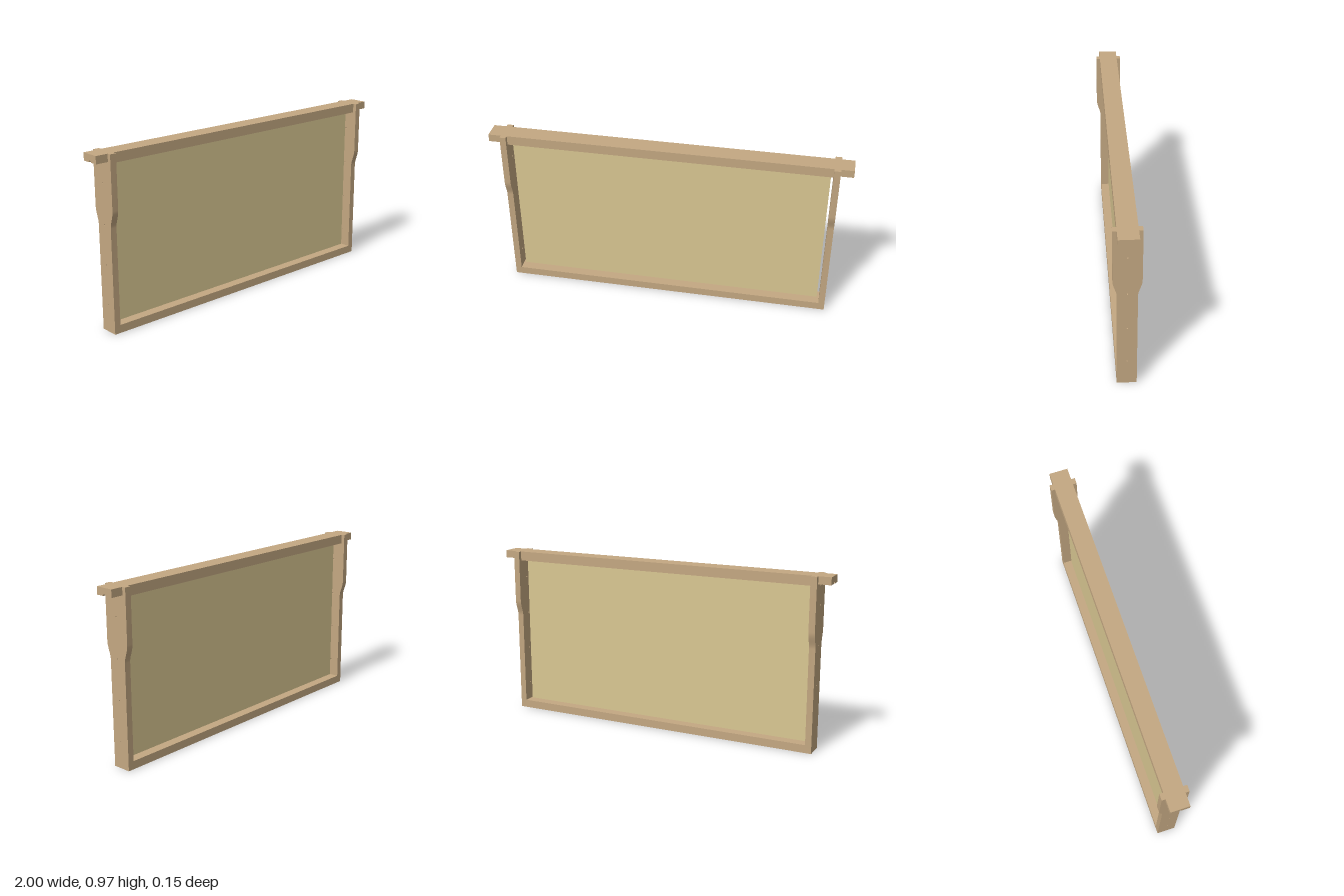
import * as THREE from 'three';
import { toCreasedNormals } from 'three/addons/utils/BufferGeometryUtils.js';

const wood = new THREE.MeshStandardMaterial({ color: 0xc4a882 });
const wax = new THREE.MeshStandardMaterial({ color: 0xdac893 });

const TOP = 0.968, SEAT = 0.926, HALF = 0.052, WIDE = 0.073;
const GROOVE = 0.008, INNER = 0.895, OUTER = 0.93;

// Extrude a (z, y) profile along x from x0 to x1
function alongX(shape, x0, x1) {
  const geo = new THREE.ExtrudeGeometry(shape, {
    depth: x1 - x0, bevelEnabled: false, curveSegments: 10,
  });
  geo.rotateY(Math.PI / 2).translate(x0, 0, 0);
  return toCreasedNormals(geo, 0.5);
}

function add(group, name, geometry, material) {
  const mesh = new THREE.Mesh(geometry, material);
  mesh.name = name;
  group.add(mesh);
  return mesh;
}

// Bar section with a groove along its underside
function groovedSection(bottom) {
  return new THREE.Shape([
    [-HALF, bottom], [-GROOVE, bottom], [-GROOVE, 0.935], [GROOVE, 0.935],
    [GROOVE, bottom], [HALF, bottom], [HALF, TOP], [-HALF, TOP],
  ].map(([z, y]) => new THREE.Vector2(z, y)));
}

// Side bar: narrow below, flaring to wide shoulders, notched for the top bar
function sideBarShape() {
  const s = new THREE.Shape();
  s.moveTo(-HALF, 0);
  s.lineTo(HALF, 0);
  s.lineTo(HALF, 0.58);
  s.bezierCurveTo(HALF, 0.61, WIDE, 0.64, WIDE, 0.675);
  s.lineTo(WIDE, TOP);
  s.lineTo(HALF, TOP);
  s.lineTo(HALF, SEAT);
  s.lineTo(GROOVE, SEAT);
  s.lineTo(GROOVE, 0.913);
  s.lineTo(-GROOVE, 0.913);
  s.lineTo(-GROOVE, SEAT);
  s.lineTo(-HALF, SEAT);
  s.lineTo(-HALF, TOP);
  s.lineTo(-WIDE, TOP);
  s.lineTo(-WIDE, 0.675);
  s.bezierCurveTo(-WIDE, 0.64, -HALF, 0.61, -HALF, 0.58);
  s.closePath();
  // Wire holes
  for (let i = 0; i < 4; i++) {
    s.holes.push(new THREE.Path().absarc(0, 0.15 + i * 0.22, 0.004, 0, Math.PI * 2, true));
  }
  return s;
}

export function createModel() {
  const frame = new THREE.Group();
  frame.name = 'hiveFrame';

  // Top bar: thick middle and thinner lugs resting in the side bars
  const topBar = new THREE.Group();
  topBar.name = 'topBar';
  frame.add(topBar);
  add(topBar, 'topBarMiddle', alongX(groovedSection(0.915), -INNER, INNER), wood);
  add(topBar, 'leftLug', alongX(groovedSection(SEAT), INNER, 1), wood);
  add(topBar, 'rightLug', alongX(groovedSection(SEAT), -1, -INNER), wood);

  // Side bars
  const side = sideBarShape();
  add(frame, 'leftSideBar', alongX(side, INNER, OUTER), wood);
  add(frame, 'rightSideBar', alongX(side, -OUTER, -INNER), wood);

  // Bottom bar, flush with the side bars
  const bottom = new THREE.BoxGeometry(INNER * 2, 0.045, HALF * 2);
  add(frame, 'bottomBar', bottom, wood).position.y = 0.0225;

  // Wax sheet, with a small gap all round
  const sheet = new THREE.BoxGeometry(1.764, 0.862, 0.005);
  add(frame, 'waxSheet', sheet, wax).position.y = 0.48;

  return frame;
}
